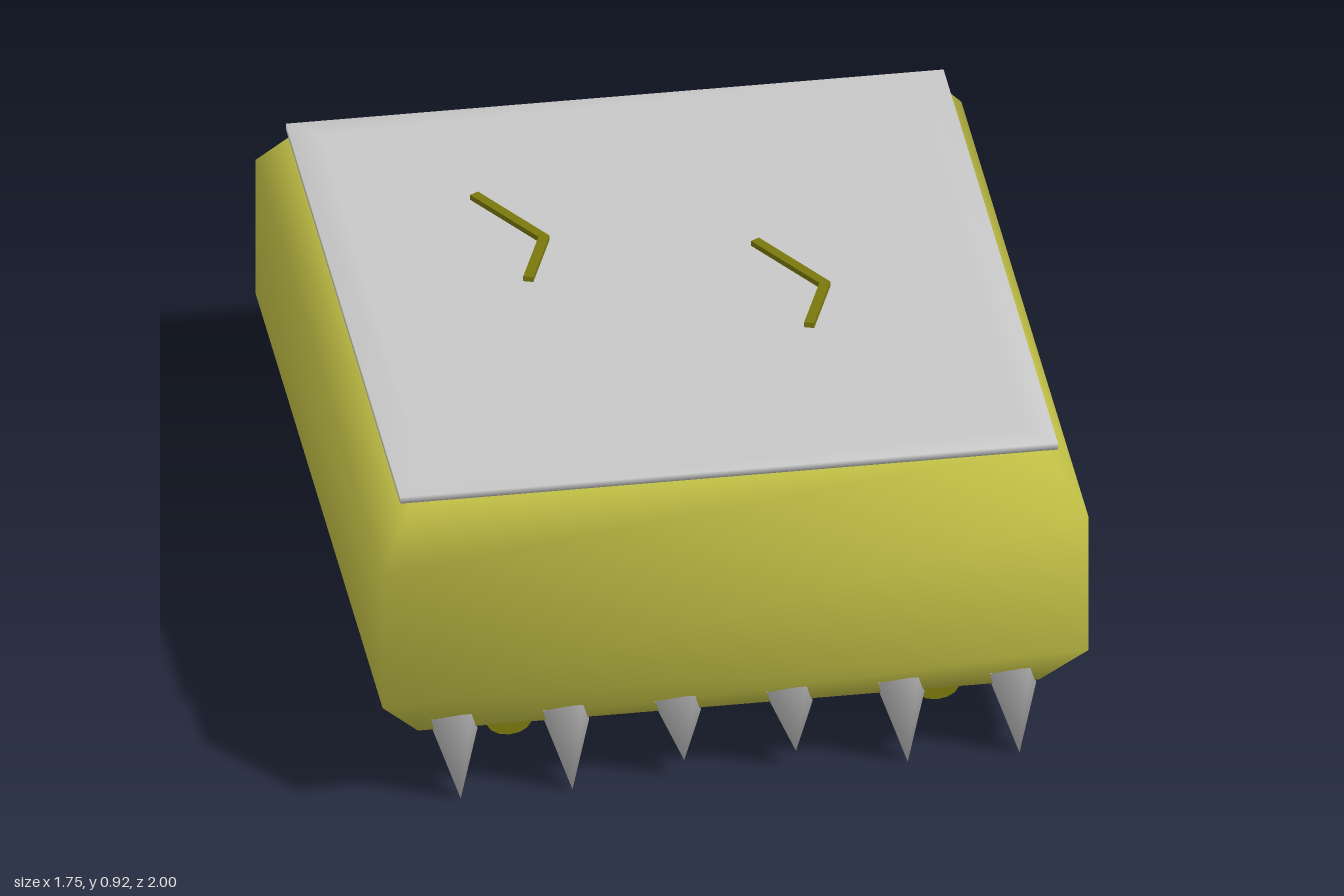
import * as THREE from 'three';

const mat = (name, color, side = THREE.FrontSide) => {
  const m = new THREE.MeshStandardMaterial({ color, side });
  m.name = name;
  return m;
};

// Smooth indexed geometry from points and triangles
function fromPoints(points, index) {
  const g = new THREE.BufferGeometry();
  g.setAttribute('position', new THREE.Float32BufferAttribute(points.flat(), 3));
  g.setIndex(index);
  g.computeVertexNormals();
  return g;
}

// Stack of rectangular sections [y, halfWidth, halfDepth], lowest first
function sectionBlock(sections) {
  const corners = [[1, 1], [1, -1], [-1, -1], [-1, 1]];
  const points = [], index = [];
  sections.forEach(([y, w, d], r) => {
    corners.forEach(([sx, sz]) => points.push([sx * w, y, sz * d]));
    if (!r) return;
    for (let i = 0; i < 4; i++) {
      const j = (i + 1) % 4, lo = (r - 1) * 4, hi = r * 4;
      index.push(lo + i, lo + j, hi + j, lo + i, hi + j, hi + i);
    }
  });
  const t = (sections.length - 1) * 4;
  index.push(t, t + 1, t + 2, t, t + 2, t + 3, 0, 2, 1, 0, 3, 2);
  return fromPoints(points, index);
}

// Slanted five-sided claw, pointing down; dir = 1 front, -1 back
function clawGeometry(tipY, dir) {
  const ring = [[-0.055, 0.285, 0.078], [0.045, 0.295, 0.078], [0.07, 0.21, 0.01],
    [0.02, 0.22, -0.065], [-0.05, 0.23, -0.055]].map(([x, y, z]) => [x, y, z * dir]);
  const points = [...ring, [0.03, tipY, 0], ...ring];
  const index = [];
  const tri = (a, b, c) => index.push(...(dir > 0 ? [a, b, c] : [a, c, b]));
  for (let i = 0; i < 5; i++) tri(i, 5, (i + 1) % 5);
  for (let i = 1; i < 4; i++) tri(6, 6 + i, 7 + i);
  return fromPoints(points, index);
}

// Mitred flat line along a few points
function strokeGeometry(path, width, depth) {
  const p = path.map(([x, y]) => new THREE.Vector2(x, y));
  const normal = (a, b) => {
    const d = b.clone().sub(a).normalize();
    return new THREE.Vector2(-d.y, d.x);
  };
  const offsets = p.map((v, i) => {
    const n0 = normal(p[Math.max(i - 1, 0)], p[Math.max(i, 1)]);
    const last = p.length - 1;
    const n1 = normal(p[Math.min(i, last - 1)], p[Math.min(i + 1, last)]);
    const m = n0.clone().add(n1).normalize();
    return m.multiplyScalar(width / 2 / m.dot(n0));
  });
  const left = p.map((v, i) => v.clone().add(offsets[i]));
  const right = p.map((v, i) => v.clone().sub(offsets[i])).reverse();
  return new THREE.ExtrudeGeometry(new THREE.Shape([...left, ...right]), { depth, bevelEnabled: false });
}

export function createModel() {
  const group = new THREE.Group();
  group.position.z = 0.0075;
  const yellow = mat('mustard yellow', 0xc6c447);
  const olive = mat('dark olive', 0x7a780c);
  const silver = mat('light grey', 0xc8c8c8);

  const add = (name, geometry, material, x = 0, y = 0, z = 0) => {
    const mesh = new THREE.Mesh(geometry, material);
    mesh.name = name;
    mesh.position.set(x, y, z);
    group.add(mesh);
    return mesh;
  };

  // Chamfered body and thin lid plate
  add('body', sectionBlock([[0.225, 0.77, 0.883], [0.365, 0.875, 0.9925],
    [0.745, 0.875, 0.9925], [0.89, 0.78, 0.883]]), yellow);
  add('topPlate', sectionBlock([[0.885, 0.815, 0.893], [0.903, 0.815, 0.893],
    [0.91, 0.74, 0.82]]), silver);

  // Rows of claws along the front and back lower edges
  for (const dir of [1, -1]) {
    for (let i = 0; i < 6; i++) {
      const tipY = i === 2 || i === 3 ? 0.062 : 0.005;
      add(dir > 0 ? 'frontClaw' : 'backClaw', clawGeometry(tipY, dir), silver,
        -0.69 + i * 0.277, 0, dir * 0.858);
    }
  }

  // Bent runners under the body
  const runner = new THREE.CylinderGeometry(1, 1, 1.59, 14, 2);
  runner.rotateX(Math.PI / 2).scale(0.057, 0.042, 1);
  const pos = runner.attributes.position;
  for (let i = 0; i < pos.count; i++) {
    pos.setY(i, pos.getY(i) + Math.abs(pos.getZ(i)) * 0.1);
  }
  for (const x of [-0.53, 0.53]) add('runner', runner, olive, x, 0.101, 0);

  // Bent marks on the lid
  const topMark = strokeGeometry([[-0.417, 0.455], [-0.28, 0.228], [-0.348, 0.045]], 0.025, 0.017);
  topMark.rotateX(-Math.PI / 2);
  add('topMark', topMark, olive, 0, 0.907, -0.0075);
  add('topMark', topMark, olive, 0.645, 0.907, 0.315);

  // Zigzag marks on the back
  const backMark = strokeGeometry([[-0.508, 0.672], [-0.33, 0.572], [-0.395, 0.415], [-0.285, 0.322]], 0.025, 0.014);
  for (const x of [0, 0.645]) add('backMark', backMark, silver, x, 0, -1.004);

  const root = new THREE.Group();
  root.name = 'clawedBlock';
  root.add(group);
  return root;
}
